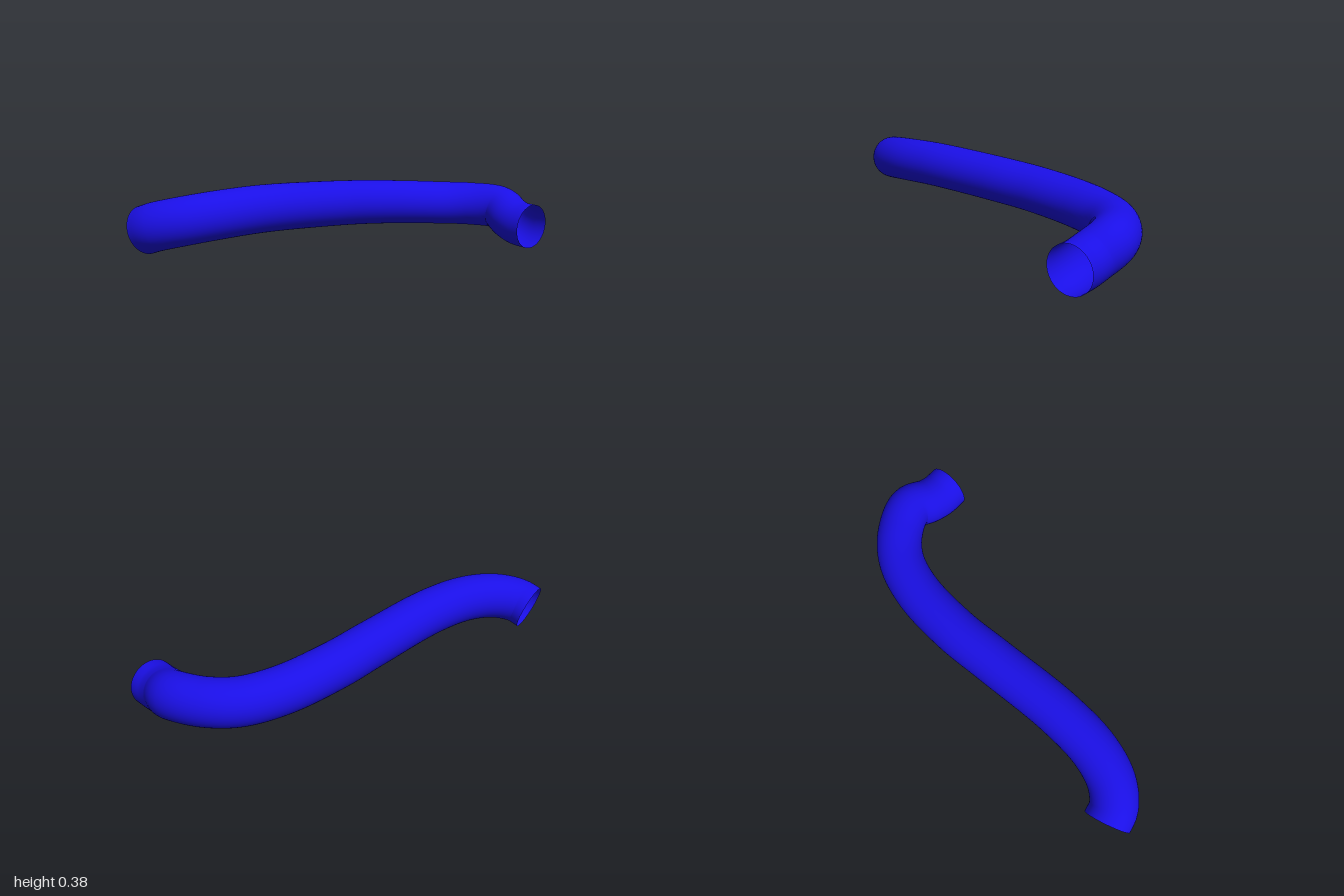
import * as THREE from 'three';

const RADIUS = 0.113;

// Centre line of the hose, from the front end to the back end
const PATH = [
  [-0.4, 0.193, 0.885],
  [-0.335, 0.214, 0.868],
  [-0.255, 0.238, 0.79],
  [-0.195, 0.258, 0.64],
  [-0.168, 0.267, 0.4],
  [-0.17, 0.25, 0],
  [-0.17, 0.233, -0.25],
  [-0.133, 0.21, -0.53],
  [-0.06, 0.196, -0.71],
  [0.045, 0.192, -0.82],
  [0.19, 0.182, -0.886],
  [0.29, 0.14, -0.862],
  [0.36, 0.12, -0.852],
  [0.437, 0.115, -0.851],
];

export function createModel() {
  const group = new THREE.Group();
  group.name = 'hoseModel';

  // Open-ended bent hose
  const curve = new THREE.CatmullRomCurve3(PATH.map((p) => new THREE.Vector3(...p)));
  const hose = new THREE.Mesh(
    new THREE.TubeGeometry(curve, 120, RADIUS, 48, false),
    new THREE.MeshStandardMaterial({ color: 0x1a0fe6, side: THREE.DoubleSide })
  );
  hose.name = 'hose';
  group.add(hose);
  return group;
}
